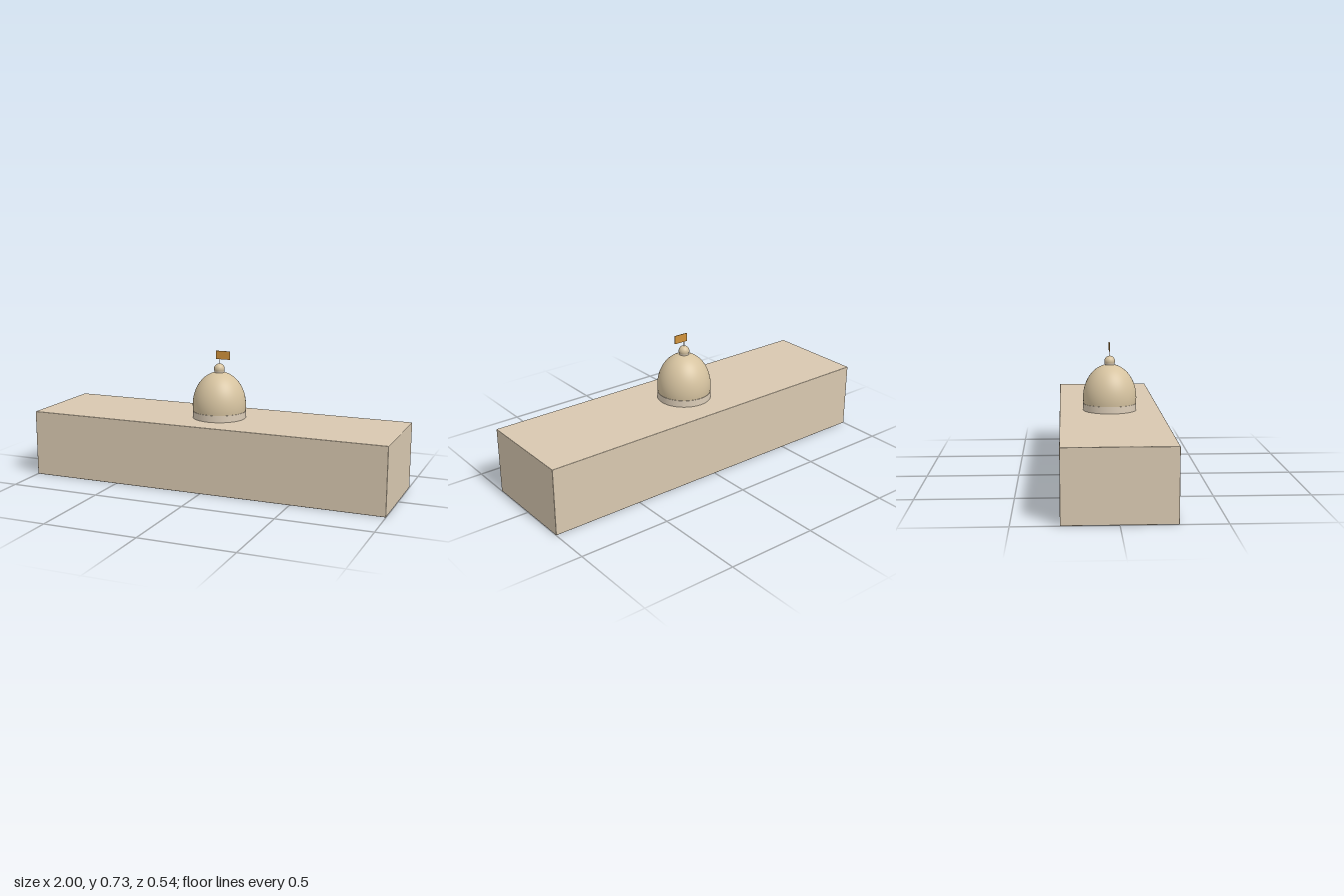
import * as THREE from 'three';
import { RoundedBoxGeometry } from 'three/addons/geometries/RoundedBoxGeometry.js';

const material = (color) => new THREE.MeshStandardMaterial({ color });
const stone = material(0xd8c8b0);
const paleStone = material(0xdccdb8);
const domeStone = material(0xd6c3a0);
const gold = material(0xd0923c);

export function createModel() {
  const model = new THREE.Group();
  model.name = 'domedBuilding';

  function add(name, geometry, mat, x, y, z) {
    const mesh = new THREE.Mesh(geometry, mat);
    mesh.name = name;
    mesh.position.set(x, y, z);
    model.add(mesh);
    return mesh;
  }

  // Long main block with barely softened edges
  add('mainBlock', new RoundedBoxGeometry(2, 0.362, 0.544, 2, 0.003), stone, 0, 0.181, 0);

  // Drum under the dome
  add('drum', new THREE.CylinderGeometry(0.145, 0.145, 0.038, 64), paleStone, 0, 0.38, 0);

  // Tall dome: an ellipse that tucks in slightly where it meets the drum
  const profile = [];
  const steps = 32, start = -0.17;
  for (let i = 0; i <= steps; i++) {
    const a = start + (Math.PI / 2 - start) * (i / steps);
    profile.push(new THREE.Vector2(Math.max(0, 0.145 * Math.cos(a)), 0.182 * Math.sin(a)));
  }
  add('dome', new THREE.LatheGeometry(profile, 64), domeStone, 0, 0.43, 0);

  // Finial: collar and ball
  add('finialCollar', new THREE.CylinderGeometry(0.027, 0.026, 0.01, 32), paleStone, 0, 0.612, 0);
  add('finialBall', new THREE.SphereGeometry(0.029, 32, 20), domeStone, 0, 0.628, 0);

  // Pole and flag
  add('flagPole', new THREE.CylinderGeometry(0.002, 0.002, 0.075, 12), paleStone, 0, 0.687, 0);
  add('flag', new THREE.BoxGeometry(0.08, 0.045, 0.004), gold, 0.022, 0.703, 0);

  return model;
}
